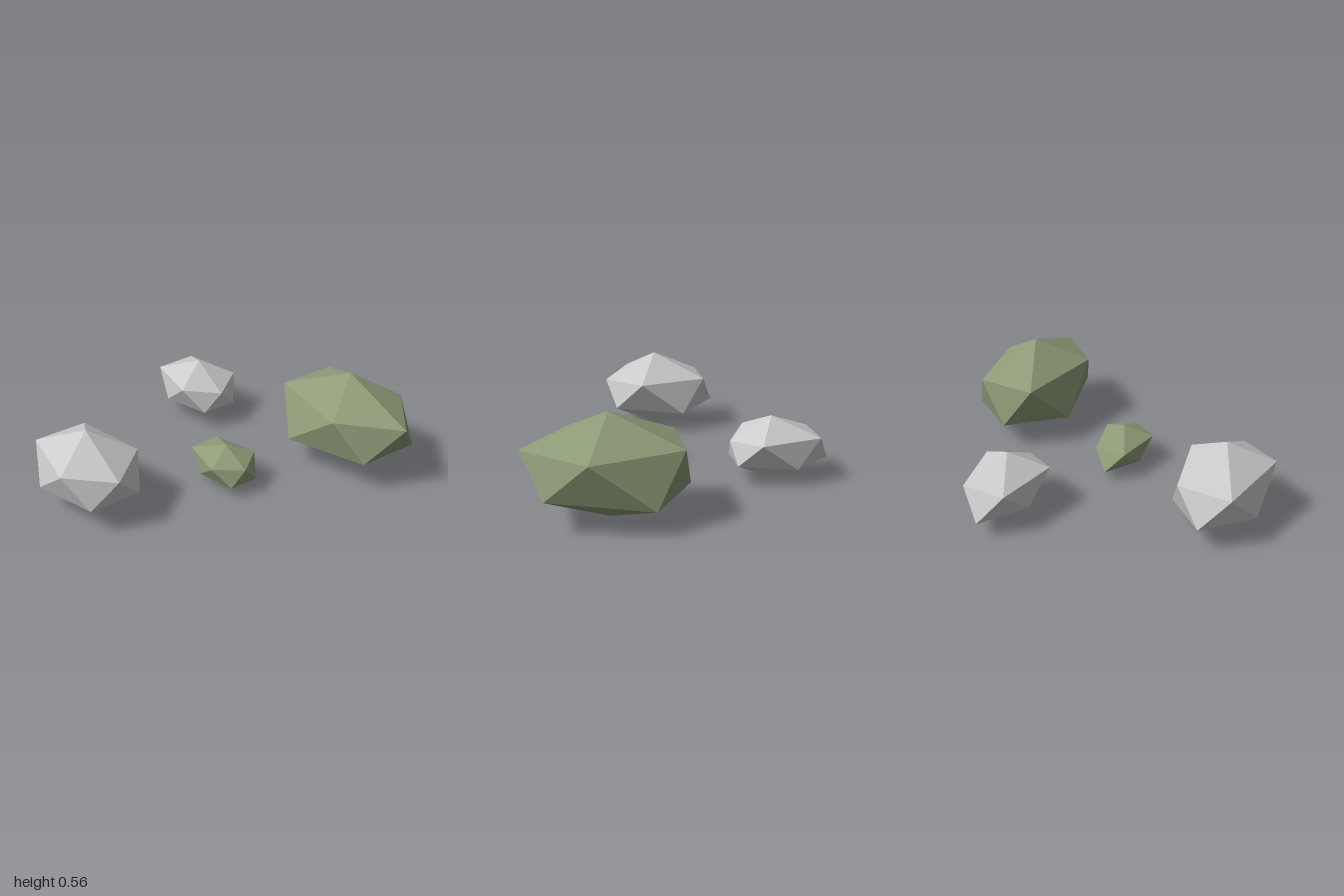
import * as THREE from 'three';

const stone = new THREE.MeshStandardMaterial({ color: 0xcccccc, flatShading: true });
const mossy = new THREE.MeshStandardMaterial({ color: 0x8f9c78, flatShading: true });

// A twelve-point boulder: two tips joined by an upper and a lower ring of five.
// Rings run anticlockwise seen from above, starting at +x; the lower ring is half a step ahead.
function boulder(name, material, top, upper, lower) {
  const bottom = [top[0], 0, top[2]];
  const faces = [];
  for (let i = 0; i < 5; i++) {
    const j = (i + 1) % 5;
    faces.push(top, upper[i], upper[j]);
    faces.push(upper[i], lower[i], upper[j]);
    faces.push(lower[i], lower[j], upper[j]);
    faces.push(bottom, lower[j], lower[i]);
  }
  const geometry = new THREE.BufferGeometry();
  geometry.setAttribute('position', new THREE.Float32BufferAttribute(faces.flat(), 3));
  geometry.computeVertexNormals();
  const mesh = new THREE.Mesh(geometry, material);
  mesh.name = name;
  return mesh;
}

export function createModel() {
  const group = new THREE.Group();
  group.name = 'rocks';

  group.add(
    boulder('largeMossyRock', mossy, [0.417, 0.555, -0.69],
      [[0.86, 0.384, -0.69], [0.555, 0.38, -0.975], [0.065, 0.39, -0.87], [0.05, 0.39, -0.52], [0.58, 0.404, -0.408]],
      [[0.76, 0.178, -0.88], [0.23, 0.135, -0.998], [0.0, 0.15, -0.69], [0.26, 0.153, -0.385], [0.748, 0.18, -0.503]]),

    boulder('largeGreyRock', stone, [-0.08, 0.47, 0.755],
      [[0.233, 0.306, 0.755], [0.04, 0.32, 0.513], [-0.37, 0.32, 0.6], [-0.38, 0.317, 0.902], [0.057, 0.339, 0.995]],
      [[0.187, 0.155, 0.605], [-0.222, 0.12, 0.517], [-0.456, 0.141, 0.755], [-0.205, 0.136, 0.99], [0.175, 0.153, 0.9]]),

    boulder('smallGreyRock', stone, [-0.532, 0.358, -0.325],
      [[-0.3, 0.225, -0.325], [-0.43, 0.25, -0.525], [-0.78, 0.25, -0.45], [-0.78, 0.248, -0.2], [-0.427, 0.257, -0.123]],
      [[-0.32, 0.113, -0.435], [-0.635, 0.097, -0.505], [-0.864, 0.095, -0.325], [-0.62, 0.105, -0.148], [-0.325, 0.113, -0.215]]),

    boulder('smallMossyRock', mossy, [0.195, 0.24, 0.03],
      [[0.372, 0.162, 0.03], [0.267, 0.172, -0.118], [0.0, 0.165, -0.06], [0.0, 0.165, 0.125], [0.267, 0.17, 0.183]],
      [[0.362, 0.067, -0.055], [0.135, 0.06, -0.098], [-0.07, 0.06, 0.03], [0.13, 0.065, 0.162], [0.357, 0.067, 0.117]])
  );
  return group;
}
